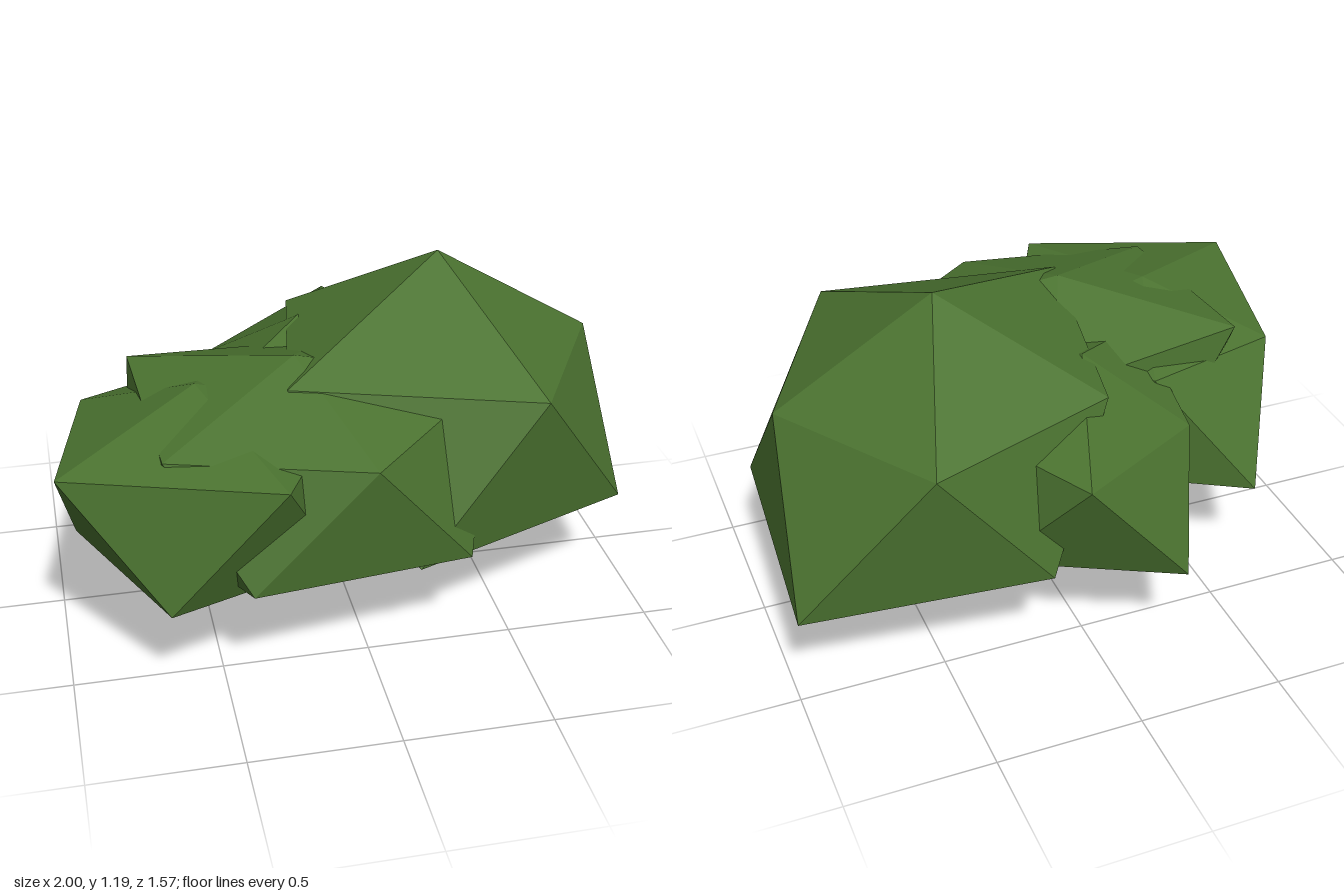
import * as THREE from 'three';

// Faceted leaf clump: a top point, an upper and a lower ring of five, a bottom point
function clump(name, material, top, upper, lower, bottom) {
  const pos = [];
  const face = (...corners) => corners.forEach((c) => pos.push(...c));
  for (let i = 0; i < 5; i++) {
    const j = (i + 1) % 5;
    face(top, upper[j], upper[i]);
    face(upper[i], upper[j], lower[i]);
    face(lower[i], upper[j], lower[j]);
    face(bottom, lower[i], lower[j]);
  }
  const geometry = new THREE.BufferGeometry();
  geometry.setAttribute('position', new THREE.Float32BufferAttribute(pos, 3));
  geometry.computeVertexNormals();
  const mesh = new THREE.Mesh(geometry, material);
  mesh.name = name;
  return mesh;
}

export function createModel() {
  const group = new THREE.Group();
  group.name = 'bush';
  const leaf = new THREE.MeshStandardMaterial({ color: 0x4b7330 });
  leaf.name = 'leaf green';

  // Rings run from +x towards +z
  group.add(
    clump('largeLeafClump', leaf, [0.37, 1.19, -0.1],
      [[0.92, 0.86, -0.1], [0.58, 0.905, 0.545], [-0.24, 0.94, 0.35], [-0.1, 0.89, -0.45], [0.565, 0.885, -0.69]],
      [[0.94, 0.385, 0.315], [0.15, 0.37, 0.61], [-0.02, 0.37, -0.1], [0.18, 0.41, -0.69], [0.995, 0.36, -0.555]],
      [0.37, 0, -0.1]),
    clump('sideLeafClump', leaf, [-0.52, 0.92, 0.2],
      [[-0.02, 0.78, 0.19], [-0.31, 0.815, 0.78], [-1, 0.805, 0.54], [-0.88, 0.75, -0.09], [-0.36, 0.78, -0.26]],
      [[-0.1, 0.37, 0.5], [-0.68, 0.37, 0.71], [-0.94, 0.41, 0.2], [-0.7, 0.34, -0.41], [-0.08, 0.37, -0.1]],
      [-0.51, 0.05, 0.19]),
    clump('frontLeafClump', leaf, [-0.19, 0.99, 0.2],
      [[0.45, 0.88, 0.29], [-0.02, 0.82, 0.72], [-0.67, 0.84, 0.56], [-0.71, 0.865, -0.16], [0, 0.82, -0.24]],
      [[0.33, 0.38, 0.585], [-0.42, 0.42, 0.73], [-0.75, 0.42, 0.12], [-0.38, 0.4, -0.25], [0.3, 0.4, -0.2]],
      [-0.17, 0.26, 0.12]),
    clump('backLeafClump', leaf, [-0.1, 0.93, -0.23],
      [[0.4, 0.8, -0.23], [0.1, 0.8, 0.25], [-0.45, 0.8, 0.08], [-0.4, 0.71, -0.45], [0.1, 0.785, -0.785]],
      [[0.3, 0.38, 0.05], [-0.2, 0.38, 0.25], [-0.47, 0.38, -0.24], [-0.26, 0.355, -0.77], [0.33, 0.4, -0.53]],
      [-0.08, 0.2, -0.23])
  );
  return group;
}
